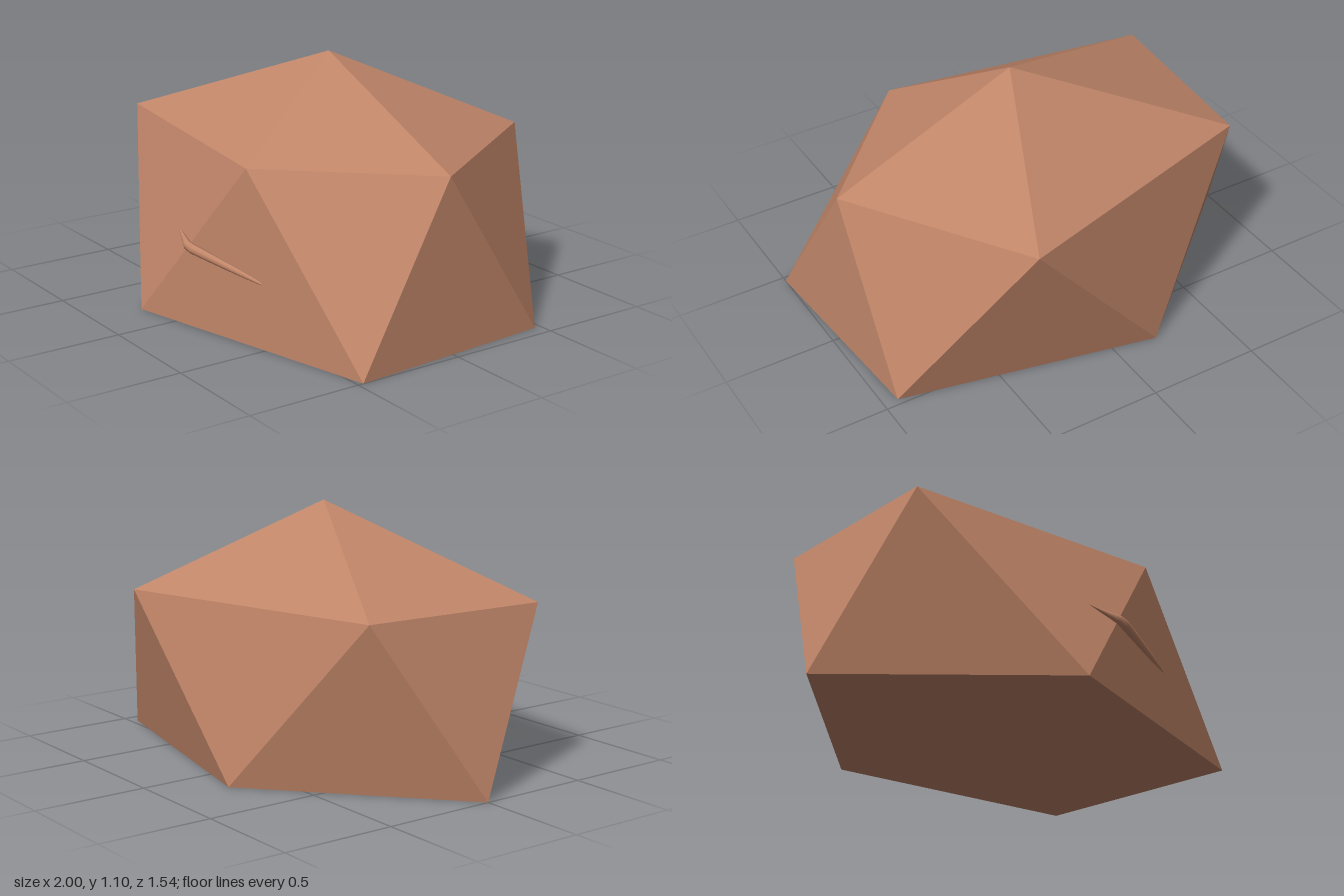
import * as THREE from 'three';

// Triangles from a flat list of [x, y, z] corners, with hard facets
function facets(corners) {
  const geometry = new THREE.BufferGeometry();
  geometry.setAttribute('position', new THREE.Float32BufferAttribute(corners.flat(), 3));
  geometry.computeVertexNormals();
  return geometry;
}

// Faceted boulder: apex, upper ring and base ring, five corners each
function boulderGeometry() {
  const apex = [0.1, 1.1, 0];
  const upper = [[-0.82, 0.42], [0.37, 0.6], [0.93, 0], [0.43, -0.77], [-0.76, -0.42]]
    .map(([x, z]) => [x, 0.74, z]);
  const base = [[-1, 0], [-0.21, 0.77], [1, 0.475], [0.935, -0.47], [-0.2, -0.715]]
    .map(([x, z]) => [x, 0, z]);
  const corners = [];
  for (let i = 0; i < 5; i++) {
    const j = (i + 1) % 5;
    corners.push(apex, upper[i], upper[j]);
    corners.push(base[i], base[j], upper[i]);
    corners.push(base[j], upper[j], upper[i]);
    if (i > 0 && i < 4) corners.push(base[0], base[j], base[i]);
  }
  return facets(corners);
}

// Thin bent ridge, thickest at the bend and tapering to both tips
function ridgeGeometry() {
  const start = new THREE.Vector3(-0.07, 0.392, 0.657);
  const bend = new THREE.Vector3(0.08, 0.35, 0.7);
  const end = new THREE.Vector3(0.49, 0.272, 0.585);
  const path = new THREE.CurvePath();
  path.add(new THREE.LineCurve3(start, bend));
  path.add(new THREE.LineCurve3(bend, end));
  const segments = 16, sides = 8;
  const geometry = new THREE.TubeGeometry(path, segments, 0.022, sides, false);
  const position = geometry.attributes.position;
  const p = new THREE.Vector3();
  for (let i = 0; i <= segments; i++) {
    const t = i / segments;
    const centre = path.getPointAt(t);
    const taper = t < 0.27 ? t / 0.27 : Math.sqrt((1 - t) / 0.73);
    for (let k = 0; k <= sides; k++) {
      const n = i * (sides + 1) + k;
      p.fromBufferAttribute(position, n).sub(centre).multiplyScalar(Math.max(taper, 0.02)).add(centre);
      position.setXYZ(n, p.x, p.y, p.z);
    }
  }
  geometry.computeVertexNormals();
  return geometry;
}

export function createModel() {
  const clay = new THREE.MeshStandardMaterial({ color: 0xc08568 });
  clay.name = 'clay brown';

  const group = new THREE.Group();
  group.name = 'rock';

  const boulder = new THREE.Mesh(boulderGeometry(), clay);
  boulder.name = 'boulder';

  const ridge = new THREE.Mesh(ridgeGeometry(), clay);
  ridge.name = 'ridge';

  group.add(boulder, ridge);
  return group;
}
